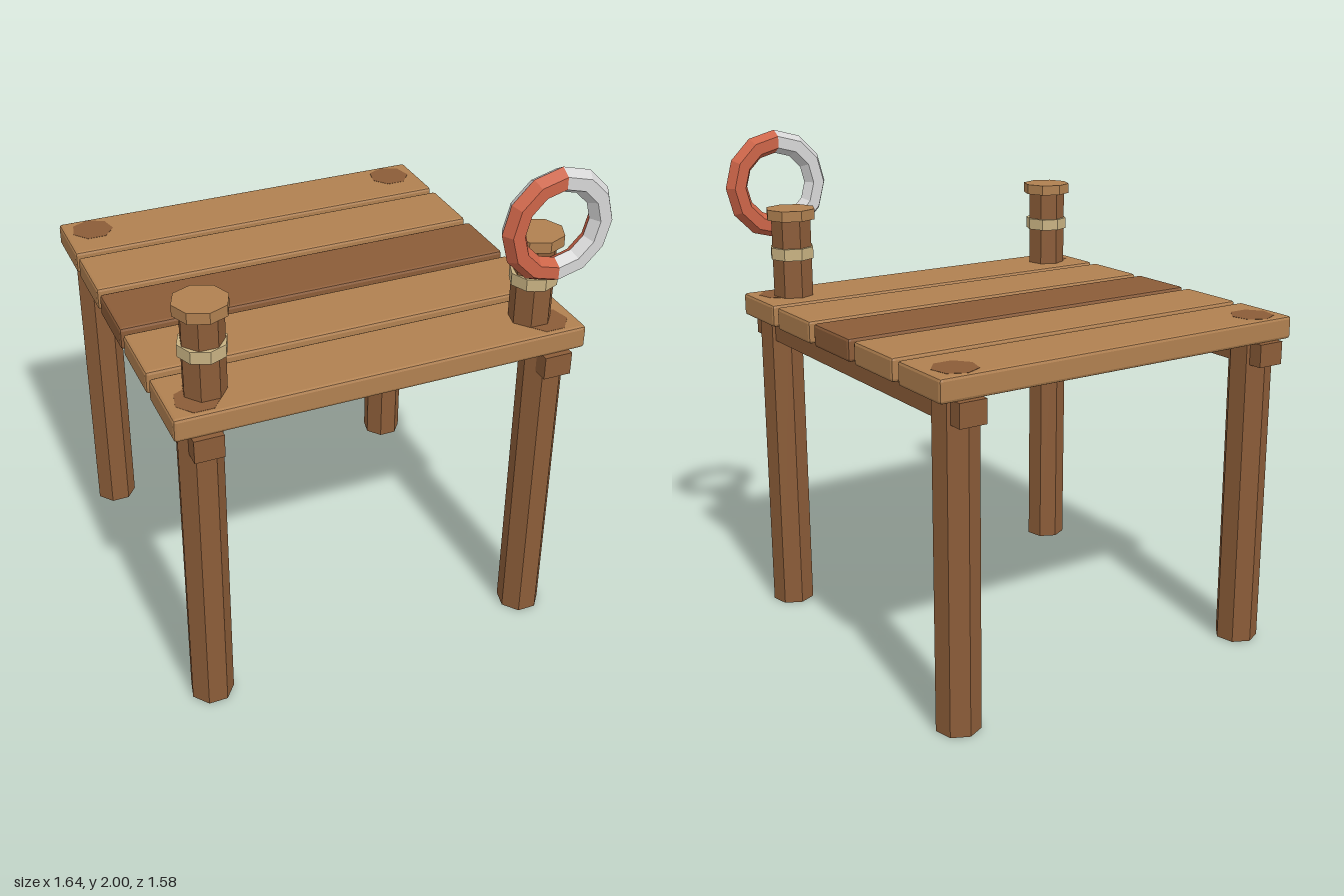
import * as THREE from 'three';
import { RoundedBoxGeometry } from 'three/addons/geometries/RoundedBoxGeometry.js';

const flat = (name, color) => new THREE.MeshStandardMaterial({ name, color, flatShading: true });

export function createModel() {
  const lightWood = flat('light wood', 0xb08050);
  const darkWood = flat('dark wood', 0x8b5c38);
  const rope = flat('rope', 0xc8b282);
  const red = flat('buoy red', 0xcc6448);
  const white = flat('buoy white', 0xd6d6d6);

  const model = new THREE.Group();
  model.name = 'dock';

  function add(name, geometry, material, x, y, z, parent = model) {
    const mesh = new THREE.Mesh(geometry, material);
    mesh.name = name;
    mesh.position.set(x, y, z);
    parent.add(mesh);
    return mesh;
  }

  // Upright prism standing on y = bottom
  function prism(name, radius, bottom, top, sides, material, x, z, parent) {
    const geometry = new THREE.CylinderGeometry(radius, radius, top - bottom, sides);
    return add(name, geometry, material, x, (bottom + top) / 2, z, parent);
  }

  // Deck planks with chamfered edges, the middle one darker
  const plank = new RoundedBoxGeometry(1.58, 0.09, 0.28, 1, 0.012);
  for (let i = -2; i <= 2; i++) {
    add('plank', plank, i === 0 ? darkWood : lightWood, -0.034, 1.3, i * 0.316);
  }

  // Support beams and seven-sided legs, whose ends show flush in the deck
  for (const x of [-0.708, 0.638]) {
    add('beam', new THREE.BoxGeometry(0.11, 0.09, 1.58), darkWood, x, 1.212, 0);
    for (const z of [-0.674, 0.674]) {
      prism('leg', 0.085, 0, 1.346, 7, darkWood, x, z).rotation.y = Math.PI;
    }
  }

  // Mooring posts with rope band and cap
  for (const x of [-0.667, 0.597]) {
    const post = new THREE.Group();
    post.name = 'mooringPost';
    post.position.set(x, 0, 0.631);
    model.add(post);
    prism('postShaft', 0.08, 1.34, 1.66, 7, darkWood, 0, 0, post).rotation.y = Math.PI;
    prism('ropeBand', 0.09, 1.499, 1.546, 8, rope, 0, 0, post);
    prism('postCap', 0.101, 1.658, 1.7, 8, lightWood, 0, 0, post);
  }

  // Life ring: quarters alternate between sides, and swap from front to back
  const radial = 6, tubular = 12;
  const ring = new THREE.TorusGeometry(0.173, 0.046, radial, tubular);
  for (let j = 0; j < radial; j++) {
    for (let i = 0; i < tubular; i++) {
      const onLeft = i < 3 || i >= 9;
      const inFront = j < radial / 2;
      ring.addGroup(6 * (j * tubular + i), 6, onLeft === inFront ? 1 : 0);
    }
  }
  add('lifeRing', ring, [red, white], 0.598, 1.781, 0.753);

  return model;
}
